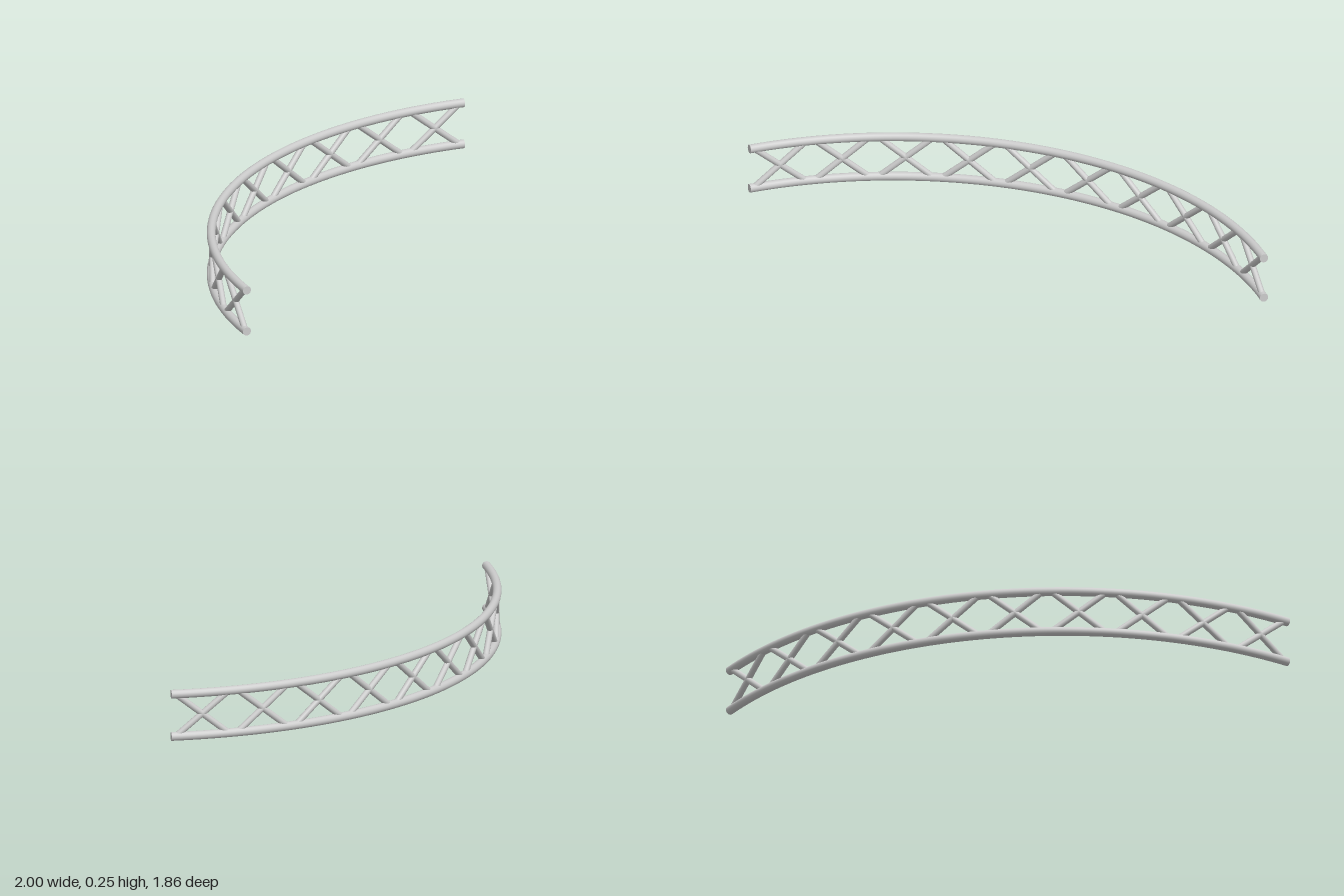
import * as THREE from 'three';

const R = 1.843, CX = 0.864, CZ = 0.932; // plan arc radius and centre
const SWEEP = Math.PI / 2 + 0.074;
const CHORD_R = 0.021, BRACE_R = 0.015;
const LOW = 0.021, HIGH = 0.229;
const BAYS = 10;

// Point on the arc at angle t (0 = front left end) and height y
const arcPoint = (t, y) => new THREE.Vector3(CX - R * Math.cos(t), y, CZ - R * Math.sin(t));

class ArcCurve extends THREE.Curve {
  constructor(y) {
    super();
    this.y = y;
  }
  getPoint(u, target = new THREE.Vector3()) {
    return target.copy(arcPoint(u * SWEEP, this.y));
  }
}

export function createModel() {
  const model = new THREE.Group();
  model.name = 'curvedTruss';
  const material = new THREE.MeshStandardMaterial({ color: 0xcccccc });

  // Curved chord tube with closed ends
  function addChord(name, y) {
    const chord = new THREE.Group();
    chord.name = name;
    const curve = new ArcCurve(y);
    const tube = new THREE.Mesh(new THREE.TubeGeometry(curve, 60, CHORD_R, 16), material);
    tube.name = name + 'Tube';
    chord.add(tube);
    for (const u of [0, 1]) {
      const cap = new THREE.Mesh(new THREE.CircleGeometry(CHORD_R, 16), material);
      cap.name = name + 'EndCap';
      const outward = curve.getTangent(u).multiplyScalar(u ? 1 : -1);
      cap.position.copy(curve.getPoint(u));
      cap.quaternion.setFromUnitVectors(new THREE.Vector3(0, 0, 1), outward);
      chord.add(cap);
    }
    model.add(chord);
  }
  addChord('lowerChord', LOW);
  addChord('upperChord', HIGH);

  // Straight round bar between two points
  function bar(a, b) {
    const dir = b.clone().sub(a);
    const mesh = new THREE.Mesh(new THREE.CylinderGeometry(BRACE_R, BRACE_R, dir.length(), 12), material);
    mesh.name = 'diagonalBrace';
    mesh.position.copy(a).add(b).multiplyScalar(0.5);
    mesh.quaternion.setFromUnitVectors(new THREE.Vector3(0, 1, 0), dir.normalize());
    return mesh;
  }

  // Crossed diagonal braces, one pair per bay
  const bay = SWEEP / BAYS;
  for (let i = 0; i < BAYS; i++) {
    const cross = new THREE.Group();
    cross.name = 'crossBrace' + (i + 1);
    const t0 = (i + 0.07) * bay, t1 = (i + 0.93) * bay;
    cross.add(bar(arcPoint(t0, LOW), arcPoint(t1, HIGH)));
    cross.add(bar(arcPoint(t0, HIGH), arcPoint(t1, LOW)));
    model.add(cross);
  }
  return model;
}
